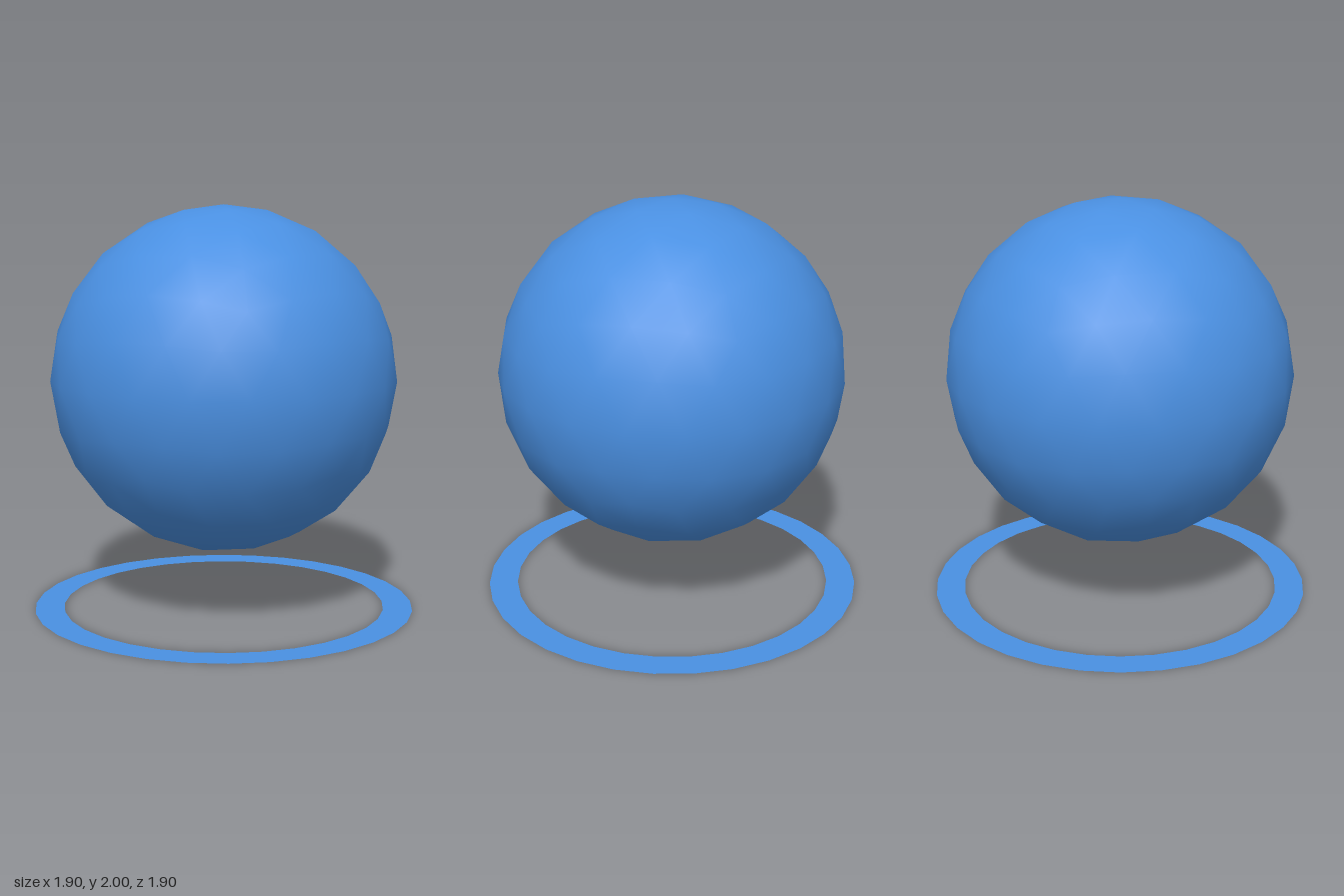
import * as THREE from 'three';

export function createModel() {
  const model = new THREE.Group();
  const radius = 0.855;

  // Smooth ball: subdivided icosahedron, tilted so one of its corners is the top pole
  const ballGeometry = new THREE.IcosahedronGeometry(radius, 3);
  ballGeometry.rotateZ(-Math.atan(2 / (1 + Math.sqrt(5))));
  const ball = new THREE.Mesh(ballGeometry, new THREE.MeshStandardMaterial({ color: 0x4a90e2 }));
  ball.name = 'ball';
  ball.position.y = 2 - radius;
  model.add(ball);

  // Flat ring lying on the ground below the floating ball
  const ringGeometry = new THREE.RingGeometry(0.805, 0.95, 32);
  ringGeometry.rotateX(-Math.PI / 2);
  const ring = new THREE.Mesh(
    ringGeometry,
    new THREE.MeshStandardMaterial({ color: 0x4a90e2, side: THREE.DoubleSide })
  );
  ring.name = 'groundRing';
  model.add(ring);

  return model;
}
